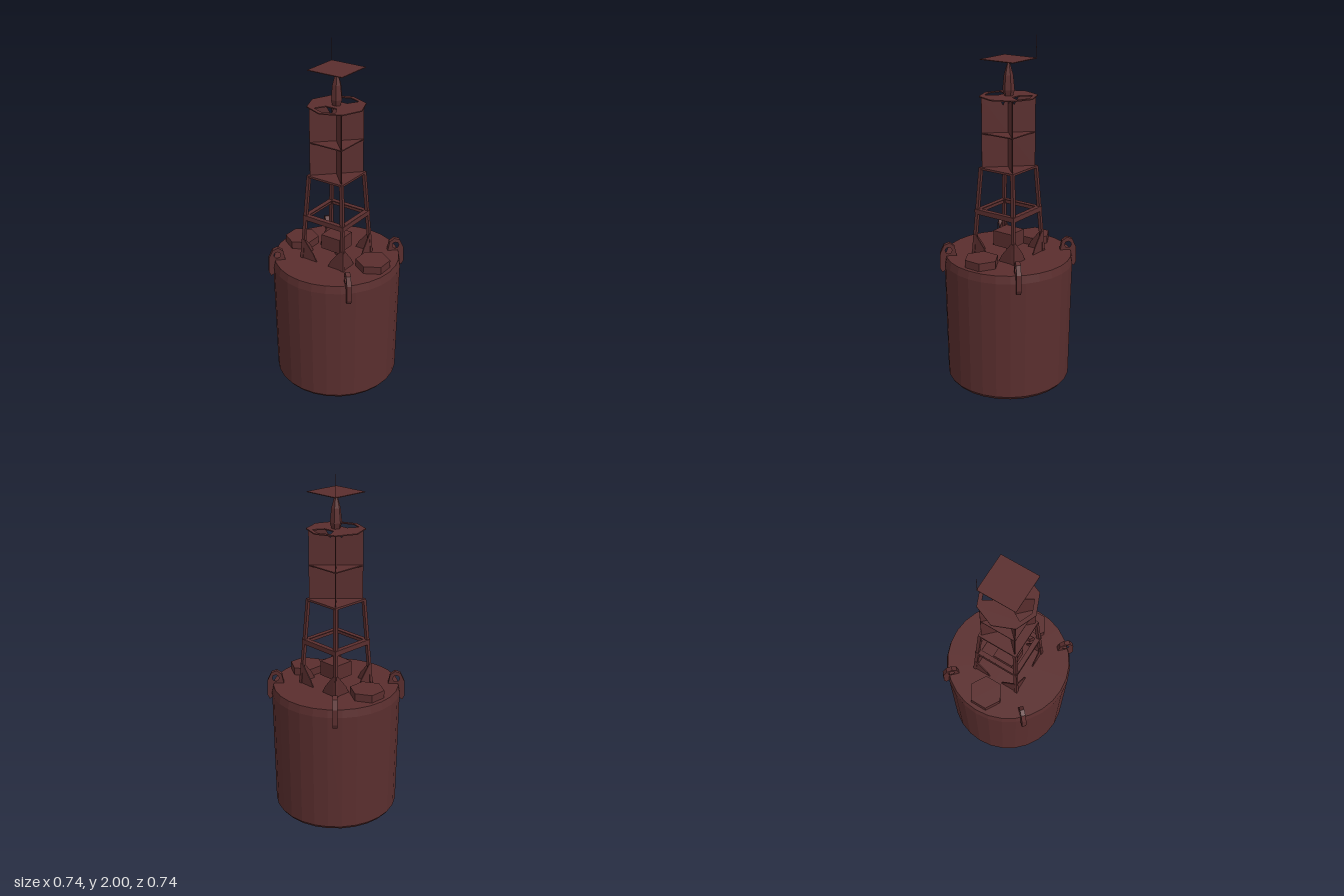
import * as THREE from 'three';

const paint = new THREE.MeshStandardMaterial({ color: 0x5a2e2e });
paint.name = 'dark red paint';

export function createModel() {
  const model = new THREE.Group();
  model.name = 'buoy';

  // Adds a faceted mesh
  const add = (name, geometry, parent = model) => {
    const flat = geometry.index ? geometry.toNonIndexed() : geometry;
    flat.computeVertexNormals();
    const mesh = new THREE.Mesh(flat, paint);
    mesh.name = name;
    parent.add(mesh);
    return mesh;
  };
  const box = (name, w, h, d, x, y, z, parent) => {
    const mesh = add(name, new THREE.BoxGeometry(w, h, d), parent);
    mesh.position.set(x, y, z);
    return mesh;
  };
  const outline = (points) => new THREE.Shape(points.map(([x, y]) => new THREE.Vector2(x, y)));
  // Plate cut from an outline, centred on its thickness
  const plate = (shape, depth) =>
    new THREE.ExtrudeGeometry(shape, { depth, bevelEnabled: false }).translate(0, 0, -depth / 2);
  const lathe = (points, sides) =>
    new THREE.LatheGeometry(points.map(([x, y]) => new THREE.Vector2(x, y)), sides);

  // Float drum with chamfered rims
  add('hull', lathe([[0, 0], [0.345, 0], [0.36, 0.02], [0.37, 0.72], [0.361, 0.765], [0, 0.765]], 28));

  // Deck hatches, front and back
  for (const side of [1, -1]) {
    const hatch = add('hatch', new THREE.CylinderGeometry(0.098, 0.098, 0.045, 6, 1, false, Math.PI / 2));
    hatch.position.set(0, 0.787, side * 0.25);
  }

  // Equipment box on a short post
  box('equipmentBox', 0.125, 0.088, 0.125, 0, 0.857, 0);
  box('equipmentPost', 0.015, 0.05, 0.015, 0, 0.789, 0);

  // Lifting lugs hooked over the rim
  const lugShape = outline([[0.3, 0.76], [0.312, 0.82], [0.34, 0.842], [0.372, 0.83],
    [0.395, 0.78], [0.398, 0.69], [0.385, 0.665], [0.365, 0.68], [0.36, 0.76]]);
  lugShape.holes.push(new THREE.Path().absarc(0.347, 0.797, 0.02, 0, Math.PI * 2, true));
  for (let i = 0; i < 4; i++) {
    const lug = add('liftingLug', new THREE.ExtrudeGeometry(lugShape,
      { depth: 0.026, bevelEnabled: false, curveSegments: 4 }).translate(0, 0, -0.013));
    lug.rotation.y = Math.PI / 4 + i * Math.PI / 2;
  }

  // Tower: one leg, brace and pair of gussets on each side
  for (let i = 0; i < 4; i++) {
    const side = new THREE.Group();
    side.name = 'towerSide';
    side.rotation.y = i * Math.PI / 2;
    model.add(side);

    const foot = new THREE.Vector3(0.141, 0.765, 0.141);
    const head = new THREE.Vector3(0.11, 1.27, 0.11);
    const leg = new THREE.BoxGeometry(0.019, head.y - foot.y, 0.019);
    const p = leg.attributes.position;
    // Lean the leg inward toward the top
    for (let v = 0; v < p.count; v++) {
      const end = p.getY(v) < 0 ? foot : head;
      p.setXYZ(v, p.getX(v) + end.x, end.y, p.getZ(v) + end.z);
    }
    add('leg', leg, side);
    box('brace', 0.272, 0.028, 0.014, 0, 1.021, 0.13, side);
    box('braceFlange', 0.25, 0.005, 0.026, 0, 1.033, 0.122, side);

    for (const s of [1, -1]) {
      const gusset = add('gusset', plate(outline([[s * 0.148, 0.765], [s * 0.137, 0.885],
        [s * 0.125, 0.885], [s * 0.06, 0.805], [s * 0.04, 0.765]]), 0.006), side);
      gusset.position.z = 0.142;
    }
  }

  // Reflector: crossed diagonal panels between square shelves
  box('lowerShelf', 0.238, 0.012, 0.238, 0, 1.272, 0);
  box('middleShelf', 0.212, 0.006, 0.212, 0, 1.47, 0);
  const half = [[0.15, 1.27], [0.15, 1.672], [0.055, 1.672], [0.03, 1.625], [0.012, 1.672]];
  const panel = outline([...half, ...half.map(([x, y]) => [-x, y]).reverse()]);
  for (const s of [1, -1]) {
    add('reflectorPanel', plate(panel, 0.005)).rotation.y = s * Math.PI / 4;
  }

  // Octagonal lantern deck with an opening on either side
  const deck = outline(Array.from({ length: 8 }, (_, i) =>
    [0.162 * Math.cos(i * Math.PI / 4), 0.162 * Math.sin(i * Math.PI / 4)]));
  for (const s of [1, -1]) {
    deck.holes.push(new THREE.Path([[0.05, -0.035], [0.11, -0.07], [0.138, 0], [0.11, 0.07], [0.05, 0.035]]
      .map(([x, y]) => new THREE.Vector2(s * x, y))));
  }
  const lanternDeck = add('lanternDeck', plate(deck, 0.006));
  lanternDeck.rotation.x = -Math.PI / 2;
  lanternDeck.position.y = 1.675;

  // Pointed lantern under a square cover, with a fine aerial
  add('lantern', lathe([[0, 1.675], [0.024, 1.675], [0.034, 1.71], [0.026, 1.79], [0.012, 1.84], [0, 1.873]], 6));
  box('topCover', 0.22, 0.004, 0.22, 0, 1.876, 0);
  box('aerial', 0.002, 0.124, 0.002, 0.107, 1.938, -0.107);

  return model;
}
